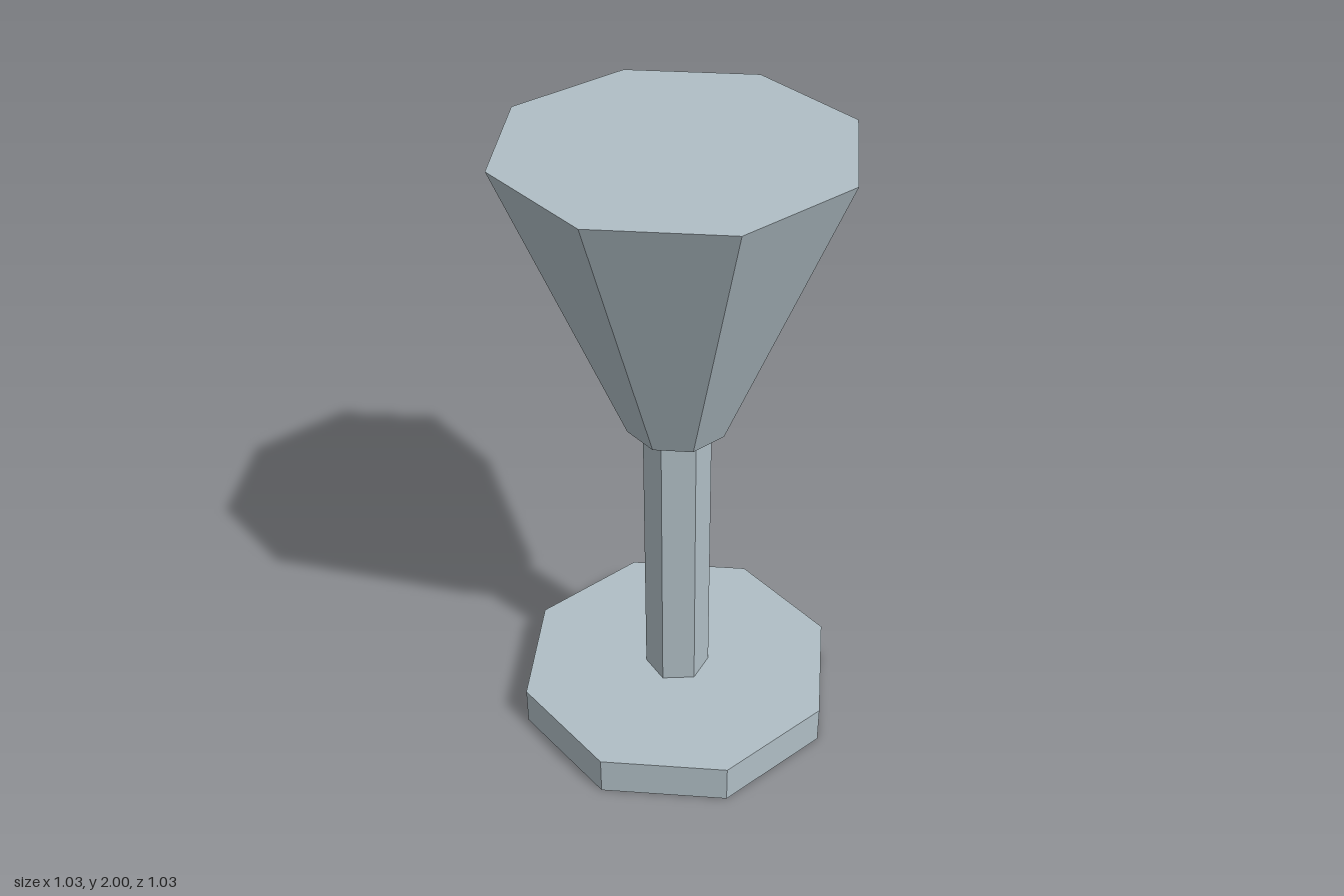
import * as THREE from 'three';

export function createModel() {
  const model = new THREE.Group();
  model.name = 'goblet';
  const metal = new THREE.MeshStandardMaterial({ color: 0xb0bec5, flatShading: true });
  metal.name = 'pale blue grey';

  // Faceted prism or cone standing between two heights, with a corner facing +z
  function addPart(name, topRadius, bottomRadius, y0, y1, sides) {
    const geometry = new THREE.CylinderGeometry(topRadius, bottomRadius, y1 - y0, sides);
    const mesh = new THREE.Mesh(geometry, metal);
    mesh.name = name;
    mesh.position.y = (y0 + y1) / 2;
    model.add(mesh);
  }

  addPart('base', 0.516, 0.516, 0, 0.13, 8);
  addPart('stem', 0.103, 0.103, 0.13, 1.1, 6);
  addPart('bowl', 0.516, 0.155, 1.1, 2, 8);

  return model;
}
